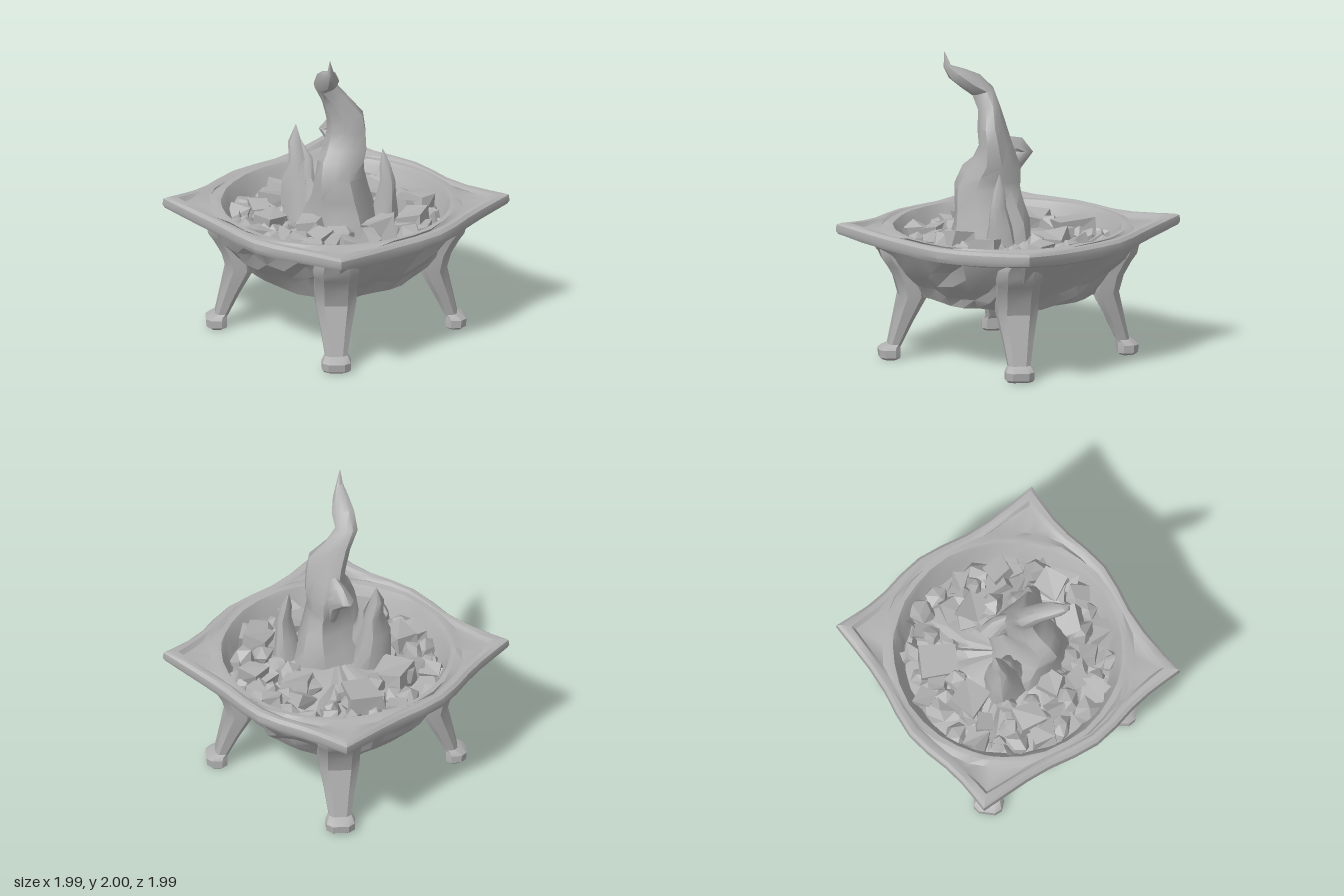
import * as THREE from 'three';
import { toCreasedNormals } from 'three/addons/utils/BufferGeometryUtils.js';

const CORNER = Math.atan2(-0.5, 1); // direction of the first tray corner
const V = (x, y, z) => new THREE.Vector3(x, y, z);

let seed = 7;
const rand = () => {
  seed = (seed * 16807) % 2147483647;
  return seed / 2147483647;
};
const spread = (s) => (rand() - 0.5) * 2 * s;

// Skin a list of closed rings; rings run from +x towards +z
function loft(rings, crease = 0.6) {
  const n = rings[0].length, pos = [], idx = [];
  rings.forEach((r) => r.forEach((p) => pos.push(p.x, p.y, p.z)));
  for (let i = 0; i < rings.length - 1; i++) {
    for (let j = 0; j < n; j++) {
      const a = i * n + j, b = i * n + (j + 1) % n;
      idx.push(a, a + n, b, b, a + n, b + n);
    }
  }
  const g = new THREE.BufferGeometry();
  g.setAttribute('position', new THREE.Float32BufferAttribute(pos, 3));
  g.setIndex(idx);
  return toCreasedNormals(g, crease);
}

// Wavy square outline with pointed corners and bulging sides
function trayOutline() {
  const side = new THREE.SplineCurve([[0, 0], [0.2, 0], [0.45, 0.065], [0.72, 0], [1, 0]]
    .map(([u, b]) => new THREE.Vector2(u, b)));
  const half = 1.112 * Math.SQRT1_2, out = [];
  for (let k = 0; k < 4; k++) {
    const a = CORNER + k * Math.PI / 2 + Math.PI / 4; // outward direction of this side
    for (let s = 0; s < 10; s++) {
      const p = side.getPoint(s / 10);
      const t = (p.x * 2 - 1) * half, d = half + p.y;
      const x = Math.cos(a) * d - Math.sin(a) * t, z = Math.sin(a) * d + Math.cos(a) * t;
      out.push({ r: Math.hypot(x, z), a: Math.atan2(z, x) });
    }
  }
  return out;
}

// Each profile entry gives [radius, height, roughness] for outline radius R and cornerness c
const bowlProfile = [
  () => [0, 0.37, 0],
  (R, c) => [0.3 + 0.05 * c, 0.377, 0],
  (R, c) => [0.525 + 0.09 * c, 0.415, 0.01],
  (R, c) => [0.575 + 0.08 * c, 0.49, 0.025],
  (R, c) => [0.64 + 0.08 * c, 0.57, 0.03],
  (R, c) => [0.705 + 0.1 * c, 0.66, 0.03],
  (R, c) => [0.77 + 0.13 * c, 0.755 + 0.03 * c, 0.012],
];
// The underside of the lip rises towards the corners
const trayProfile = [
  (R, c) => [0.74 + 0.1 * c, 0.74 + 0.02 * c, 0],
  (R, c) => [0.78 + 0.14 * c, 0.757 + 0.035 * c, 0.006],
  (R, c) => [R - 0.05, 0.755 + 0.06 * c, 0.004],
  (R, c) => [R - 0.015, 0.768 + 0.06 * c, 0],
  (R, c) => [R, 0.80 + 0.05 * c, 0],
  (R, c) => [R - 0.005, 0.84 + 0.05 * c, 0],
  (R, c) => [R - 0.025 - 0.01 * c, 0.86 + 0.04 * c, 0],
  (R, c) => [R - 0.05 - 0.05 * c, 0.86 + 0.035 * c, 0.004],
  (R, c) => [R - 0.07 - 0.06 * c, 0.85 + 0.01 * c, 0.004],
  (R) => [Math.min(0.81, R - 0.085), 0.845, 0.005],
  () => [0.77, 0.862, 0.004],
  () => [0.735, 0.86, 0.004],
  () => [0.715, 0.83, 0.006],
  () => [0.68, 0.74, 0.008],
  () => [0.64, 0.66, 0.01],
];
const bedProfile = [
  () => [0.665, 0.69, 0],
  () => [0.55, 0.715, 0.025],
  () => [0.42, 0.745, 0.03],
  () => [0.28, 0.785, 0.03],
  () => [0, 0.82, 0],
];
function polar(profile, crease) {
  const outline = trayOutline();
  return loft(profile.map((f) => outline.map(({ r, a }) => {
    const c = THREE.MathUtils.clamp((r - 0.85) / 0.26, 0, 1);
    const [q, y, e] = f(r, c);
    const rr = q + spread(e);
    return V(Math.cos(a) * rr, y + spread(e * 0.7), Math.sin(a) * rr);
  })), crease);
}

// Leg sections: height, inner radius, outer radius, half width
const legSections = [
  [0, 0.72, 0.81, 0.08], [0.015, 0.7, 0.83, 0.095], [0.065, 0.7, 0.835, 0.095],
  [0.085, 0.7, 0.81, 0.085], [0.1, 0.69, 0.775, 0.075], [0.25, 0.62, 0.742, 0.1],
  [0.42, 0.53, 0.705, 0.135], [0.53, 0.53, 0.735, 0.14], [0.62, 0.56, 0.785, 0.145],
  [0.67, 0.58, 0.82, 0.155], [0.73, 0.6, 0.835, 0.15], [0.78, 0.62, 0.86, 0.11],
];
const legShape = [[1, -0.55], [1, 0.55], [0.5, 0.95], [-0.5, 1], [-1, 0.7], [-1, -0.7], [-0.5, -1], [0.5, -0.95]];
function legGeometry() {
  const rings = legSections.map(([y, a, b, w]) =>
    legShape.map(([u, v]) => V((a + b) / 2 + u * (b - a) / 2, y, v * w + 0.02)));
  rings.unshift(legShape.map(() => V(0.765, 0, 0.02)));
  return loft(rings, 0.45);
}

// Twisting tongue of fire: sections are [y, x, z, half width x, half depth z], tilted to follow the bend
function flameGeometry(sections, twist) {
  const n = 10, last = sections.length - 1;
  return loft(sections.map(([y, x, z, rx, rz], i) => {
    const p = sections[Math.max(i - 1, 0)], q = sections[Math.min(i + 1, last)];
    const lean = (k) => 0.5 * THREE.MathUtils.clamp((q[k] - p[k]) / (q[0] - p[0]), -1, 1);
    const lx = lean(1), lz = lean(2);
    return Array.from({ length: n }, (_, j) => {
      const a = j / n * Math.PI * 2;
      const k = 0.95 + 0.1 * Math.cos(3 * a + y * twist);
      const dx = Math.cos(a) * rx * k, dz = Math.sin(a) * rz * k;
      return V(x + dx, y - dx * lx - dz * lz, z + dz);
    });
  }), 0.75);
}
const flames = {
  mainFlame: [[0.7, 0.08, 0.09, 0.3, 0.29], [0.9, 0.085, 0.09, 0.225, 0.26], [1.0, 0.1, 0.11, 0.18, 0.24],
    [1.12, 0.1, 0.13, 0.15, 0.23], [1.2, 0.09, 0.1, 0.145, 0.2], [1.28, 0.09, 0.06, 0.145, 0.165],
    [1.4, 0.09, 0.055, 0.14, 0.11], [1.5, 0.085, 0.075, 0.135, 0.095], [1.62, 0.03, 0.11, 0.085, 0.075],
    [1.72, -0.005, 0.165, 0.075, 0.07], [1.79, 0.05, 0.23, 0.075, 0.06], [1.85, 0.1, 0.31, 0.05, 0.05],
    [1.9, 0.13, 0.365, 0.022, 0.025], [2.0, 0.135, 0.385, 0, 0]],
  sideFin: [[1.1, 0.05, 0, 0.06, 0.05], [1.25, 0.01, -0.03, 0.065, 0.055], [1.33, -0.085, -0.075, 0.075, 0.06],
    [1.38, -0.025, -0.04, 0.06, 0.05], [1.43, 0.03, 0.01, 0.02, 0.02]],
  rightFlame: [[0.7, -0.18, 0.1, 0.15, 0.16], [0.9, -0.21, 0.1, 0.12, 0.12], [1.02, -0.225, 0.1, 0.1, 0.1],
    [1.15, -0.225, 0.09, 0.06, 0.07], [1.27, -0.25, 0.09, 0.045, 0.04], [1.38, -0.25, 0.07, 0, 0]],
  rightFlameSpike: [[0.9, -0.12, 0.12, 0.1, 0.08], [1.05, -0.15, 0.11, 0.05, 0.05],
    [1.17, -0.15, 0.1, 0.03, 0.03], [1.29, -0.21, 0.09, 0, 0]],
  leftFlame: [[0.7, 0.31, -0.06, 0.11, 0.12], [0.92, 0.33, -0.06, 0.07, 0.08], [1.05, 0.345, -0.05, 0.05, 0.055],
    [1.15, 0.325, -0.05, 0.035, 0.04], [1.26, 0.305, -0.05, 0, 0]],
};

// Chipped lump: a box or polyhedron with corners moved consistently
function lumpGeometry(size, boxy) {
  const g = boxy ? new THREE.BoxGeometry(1, 0.85, 1).toNonIndexed() : new THREE.IcosahedronGeometry(0.62);
  const p = g.attributes.position, moved = {};
  for (let i = 0; i < p.count; i++) {
    const key = [p.getX(i), p.getY(i), p.getZ(i)].map((v) => v.toFixed(2)).join();
    moved[key] ??= [spread(0.15), spread(0.15), spread(0.15)];
    const m = moved[key];
    p.setXYZ(i, p.getX(i) + m[0], p.getY(i) + m[1], p.getZ(i) + m[2]);
  }
  g.scale(size, size, size);
  g.computeVertexNormals();
  return g;
}

export function createModel() {
  const model = new THREE.Group();
  model.name = 'brazier';
  const stone = new THREE.MeshStandardMaterial({ color: 0xb0b0b0 });
  stone.name = 'grey stone';
  const add = (name, geometry, parent = model) => {
    const mesh = new THREE.Mesh(geometry, stone);
    mesh.name = name;
    parent.add(mesh);
    return mesh;
  };

  // Vessel
  add('bowl', polar(bowlProfile, 0.35));
  add('trayRim', polar(trayProfile, 0.6));
  add('emberBed', polar(bedProfile, 0.3));

  // Legs, each below a tray corner
  const leg = legGeometry();
  for (let k = 0; k < 4; k++) add('leg', leg).rotation.y = -(CORNER + k * Math.PI / 2);

  // Fire
  const fire = new THREE.Group();
  fire.name = 'fire';
  model.add(fire);
  for (const [name, sections] of Object.entries(flames)) add(name, flameGeometry(sections, 5), fire);

  // Coals: large blocks first, then smaller lumps in rings
  const coals = new THREE.Group();
  coals.name = 'coals';
  model.add(coals);
  const coal = (x, y, z, size, boxy) => {
    const m = add('coal', lumpGeometry(size, boxy), coals);
    m.position.set(x, y, z);
    m.rotation.set(spread(0.35), rand() * 6, spread(0.35));
  };
  [[-0.31, -0.33, 0.2], [0.1, -0.35, 0.17], [-0.41, -0.03, 0.18], [0.54, -0.02, 0.17],
    [-0.3, 0.35, 0.17], [0.4, 0.2, 0.17], [0.1, 0.45, 0.13], [0.42, -0.36, 0.14]]
    .forEach(([x, z, s]) => coal(x, 0.79, z, s, true));
  [[0.6, 26, 0.12, 0.735], [0.49, 20, 0.12, 0.755], [0.37, 12, 0.11, 0.775]].forEach(([r, n, s, y]) => {
    for (let i = 0; i < n; i++) {
      const a = (i + spread(0.3)) / n * Math.PI * 2, q = r + spread(0.03);
      coal(Math.cos(a) * q, y + spread(0.02), Math.sin(a) * q, s * (0.8 + rand() * 0.5), i % 3 === 0);
    }
  });
  return model;
}
